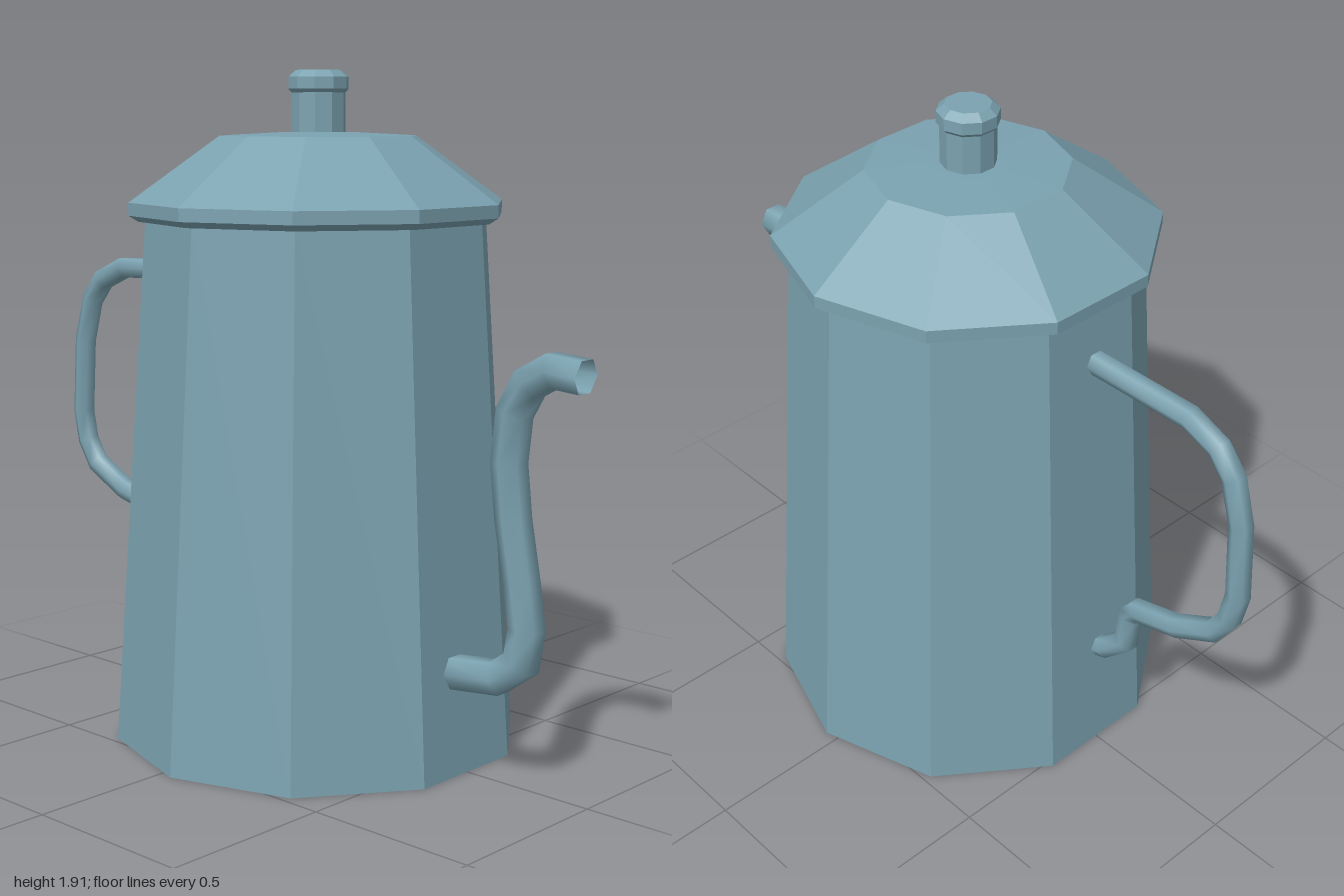
import * as THREE from 'three';

const SIDES = 10;
const CENTRE_X = 0.04;

const flat = new THREE.MeshStandardMaterial({ color: 0x7ba2b0, flatShading: true, side: THREE.DoubleSide });
const smooth = new THREE.MeshStandardMaterial({ color: 0x7ba2b0, side: THREE.DoubleSide });

// Ten-sided turned part, profile given as [radius, y] from bottom to top
function turned(name, profile) {
  const points = profile.map(([r, y]) => new THREE.Vector2(r, y));
  const mesh = new THREE.Mesh(new THREE.LatheGeometry(points, SIDES), flat);
  mesh.name = name;
  mesh.position.x = CENTRE_X;
  return mesh;
}

// Hexagonal pipe with mitred joints along a path of [x, y]; zAt gives the depth for each x
function pipe(name, path, radius, zAt) {
  const N = 6, positions = [], index = [];
  const pts = path.map(([x, y]) => new THREE.Vector2(x, y));
  const dirs = pts.slice(1).map((p, i) => p.clone().sub(pts[i]).normalize());
  pts.forEach((p, i) => {
    const before = dirs[Math.max(i - 1, 0)];
    const after = dirs[Math.min(i, dirs.length - 1)];
    const tangent = before.clone().add(after).normalize();
    const mitre = radius / tangent.dot(after);
    for (let j = 0; j < N; j++) {
      const a = (j / N) * Math.PI * 2;
      const side = Math.sin(a) * mitre;
      positions.push(p.x - tangent.y * side, p.y + tangent.x * side, zAt(p.x) + Math.cos(a) * radius);
      if (i < pts.length - 1) {
        const k = (j + 1) % N, row = i * N, next = row + N;
        index.push(row + j, next + j, row + k, next + j, next + k, row + k);
      }
    }
  });
  // Reverse the winding so the faces point outwards
  for (let i = 0; i < index.length; i += 3) [index[i + 1], index[i + 2]] = [index[i + 2], index[i + 1]];
  const geometry = new THREE.BufferGeometry();
  geometry.setAttribute('position', new THREE.Float32BufferAttribute(positions, 3));
  geometry.setIndex(index);
  geometry.computeVertexNormals();
  const mesh = new THREE.Mesh(geometry, smooth);
  mesh.name = name;
  return mesh;
}

export function createModel() {
  const group = new THREE.Group();
  group.name = 'coffeePot';

  // Tapered body with a closed base
  group.add(turned('body', [[0, 0], [0.59, 0], [0.49, 1.5]]));

  // Lid with a bevelled rim, sloping shoulder and shallow crown
  group.add(turned('lid', [
    [0.46, 1.49], [0.51, 1.49], [0.537, 1.507], [0.537, 1.543],
    [0.281, 1.726], [0.11, 1.735], [0, 1.738],
  ]));

  // Knob: neck and bevelled cap
  group.add(turned('knob', [
    [0.077, 1.73], [0.077, 1.845], [0.086, 1.855], [0.086, 1.888], [0.064, 1.907], [0, 1.907],
  ]));

  // S-shaped open spout on the model's left
  group.add(pipe('spout', [
    [0.55, 0.286], [0.73, 0.305], [0.804, 0.36], [0.82, 0.452], [0.802, 0.57],
    [0.77, 0.74], [0.753, 0.89], [0.768, 1.024], [0.814, 1.104], [0.889, 1.146], [0.988, 1.138],
  ], 0.05, () => 0.035));

  // Curved handle on the other side, slightly skewed in depth
  group.add(pipe('handle', [
    [-0.4, 1.32], [-0.763, 1.31], [-0.862, 1.267], [-0.916, 1.2], [-0.953, 1.068],
    [-0.967, 0.836], [-0.948, 0.744], [-0.903, 0.672], [-0.774, 0.603], [-0.634, 0.568],
    [-0.608, 0.538], [-0.6, 0.431], [-0.522, 0.356], [-0.44, 0.33],
  ], 0.034, (x) => 0.017 - (x + 0.45) * 0.03));

  return group;
}
